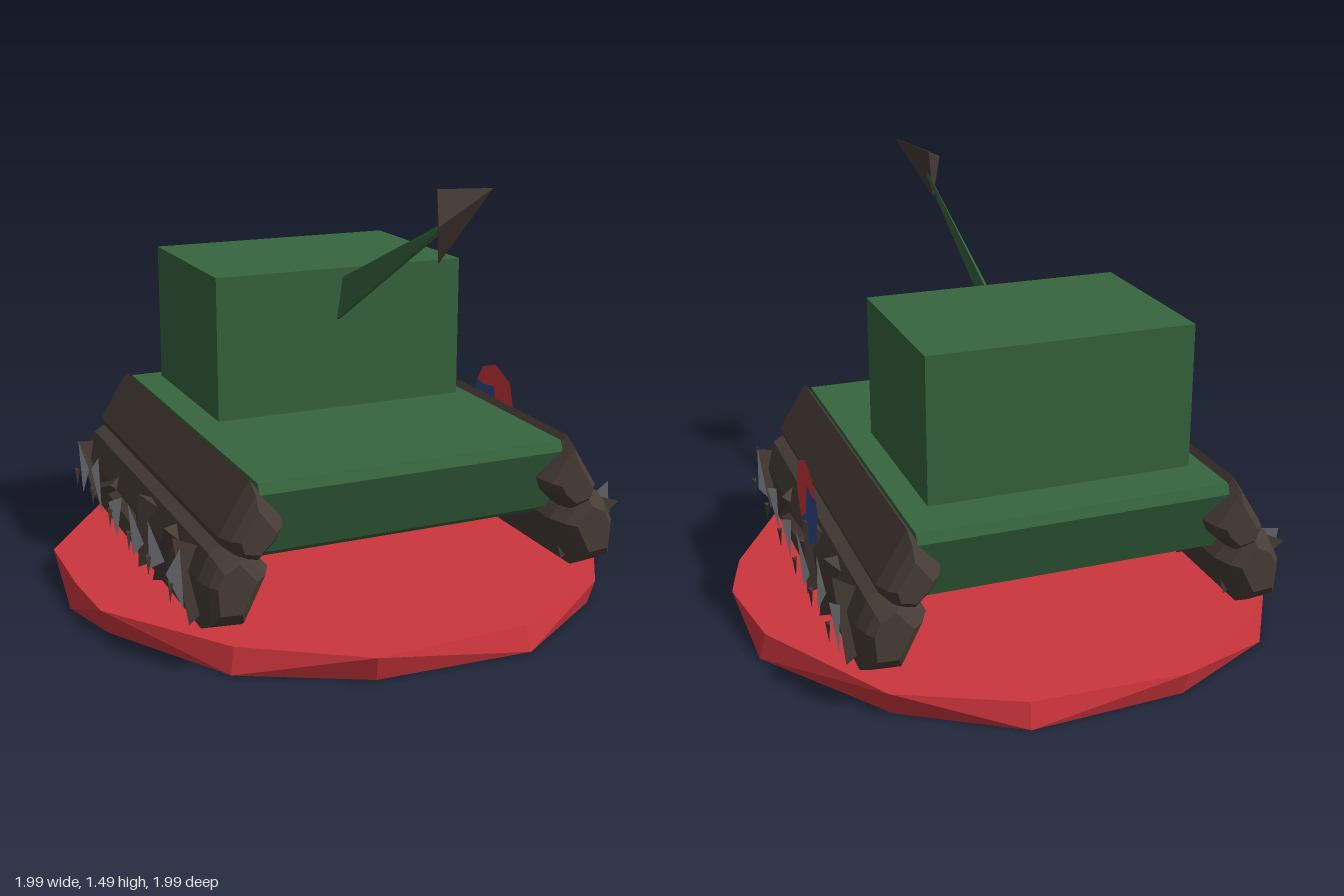
import * as THREE from 'three';
import { ConvexGeometry } from 'three/addons/geometries/ConvexGeometry.js';

function mat(name, color, side = THREE.FrontSide) {
  const m = new THREE.MeshStandardMaterial({ color, side });
  m.name = name;
  return m;
}

export function createModel() {
  const root = new THREE.Group();
  const green = mat('army green', 0x36653e);
  const red = mat('red', 0xcc353c, THREE.DoubleSide);
  const brown = mat('dark brown', 0x483d37);
  const grey = mat('light grey', 0x9a9ea2, THREE.DoubleSide);
  const blue = mat('blue', 0x2f4a8a, THREE.DoubleSide);

  const add = (name, geo, material, parent = root) => {
    const mesh = new THREE.Mesh(geo, material);
    mesh.name = name;
    parent.add(mesh);
    return mesh;
  };
  const V = (x, y, z) => new THREE.Vector3(x, y, z);
  const convex = (name, pts, material, parent) =>
    add(name, new ConvexGeometry(pts.map((p) => V(...p))), material, parent);
  // flat polygon facing sideways: u runs toward the back, v runs up
  const plate = (name, pts, material, parent) => {
    const shape = new THREE.Shape(pts.map(([u, v]) => new THREE.Vector2(u, v)));
    const mesh = add(name, new THREE.ShapeGeometry(shape), material, parent);
    mesh.rotation.y = Math.PI / 2;
    return mesh;
  };

  // low, uneven base disc
  const half = [[0.27, -0.99], [0.66, -0.77], [0.97, -0.28], [0.995, 0.06],
    [0.95, 0.3], [0.66, 0.74], [0.27, 0.97]];
  const basePts = [];
  half.forEach(([x, z], i) => {
    for (const s of [1, -1]) {
      const top = (i % 2 ? s : -s) > 0 ? 1 : 0.975;
      basePts.push([s * x * top, 0.085, z * top]);
      basePts.push([s * x * (1.975 - top), 0, z * (1.975 - top)]);
    }
  });
  convex('baseDisc', basePts, red);

  // hull with softened front and back
  const hullPts = [];
  const hullSection = [[0.585, 0.685], [0.55, 0.7], [0.33, 0.62], [0.285, 0.54]];
  for (const x of [-0.54, 0.54])
    for (const [y, z] of hullSection)
      hullPts.push([x, y, z - 0.01], [x, y, -z - 0.015]);
  convex('hull', hullPts, green);

  // turret
  const turret = add('turret', new THREE.BoxGeometry(0.92, 0.5, 0.66), green);
  turret.position.set(0, 0.857, -0.24);

  // thin tapering gun barrel and its pointed muzzle
  convex('gunBarrel', [
    [-0.018, 0.92, 0.08], [-0.008, 0.92, 0.08], [0.014, 1.07, 0.08], [0.004, 1.07, 0.08],
    [0.004, 1.35, 0.83], [-0.004, 1.36, 0.83], [0.004, 1.375, 0.83],
  ], green);
  convex('muzzle', [
    [0.095, 1.485, 0.95], [-0.105, 1.39, 0.995], [-0.03, 1.255, 0.855], [0.02, 1.46, 0.745],
  ], brown);

  // long track body with narrowed ends
  const trackBody = (name, section, s, parent) => {
    const n = section.length;
    const cx = section.reduce((a, p) => a + p[0], 0) / n;
    const cy = section.reduce((a, p) => a + p[1], 0) / n;
    const pts = [];
    for (const [z, k] of [[0.76, 0.55], [0.735, 0.8], [0.68, 1]])
      for (const [x, y] of section)
        for (const e of [1, -1])
          pts.push([s * (cx + (x - cx) * k), cy + (y - cy) * k, e * z - 0.01]);
    convex(name, pts, brown, parent);
  };
  const upper = [[0.565, 0.6], [0.46, 0.46], [0.485, 0.41], [0.56, 0.34], [0.65, 0.36], [0.67, 0.43]];
  const lower = [[0.61, 0.43], [0.51, 0.31], [0.6, 0.13], [0.73, 0.14], [0.74, 0.3], [0.7, 0.38]];

  const wheelZ = [0.585, 0.35, 0.12, -0.12, -0.355, -0.59];
  const spin = [0.2, 1.35, 0.9, 2.4, 2.0, 2.9];
  // hub triangles as [u, v] corners
  const hubs = [
    [[-0.62, 0.39], [-0.46, 0.245], [-0.645, 0.2]],
    [[-0.455, 0.285], [-0.275, 0.36], [-0.27, 0.19]],
    [[-0.22, 0.26], [-0.035, 0.34], [-0.08, 0.165]],
    [[0.04, 0.335], [0.23, 0.255], [0.12, 0.16]],
    [[0.35, 0.385], [0.465, 0.305], [0.33, 0.175]],
    [[0.5, 0.29], [0.655, 0.36], [0.61, 0.165]],
  ];

  for (const s of [1, -1]) {
    const track = new THREE.Group();
    track.name = s > 0 ? 'leftTrack' : 'rightTrack';
    root.add(track);
    trackBody('upperTrack', upper, s, track);
    trackBody('lowerTrack', lower, s, track);
    wheelZ.forEach((z, i) => {
      const wheel = add('wheel', new THREE.TetrahedronGeometry(0.17), brown, track);
      wheel.position.set(s * 0.667, 0.268, z);
      wheel.rotation.x = spin[i];
      plate('wheelHub', hubs[i], grey, track).position.x = s * 0.775;
      const bolt = add('wheelBolt', new THREE.ConeGeometry(0.02, 0.07, 3).toNonIndexed(), brown, track);
      bolt.geometry.computeVertexNormals();
      bolt.position.set(s * 0.8, 0.235, z);
      bolt.rotation.x = Math.PI;
      bolt.scale.x = 0.5;
    });
  }

  // two-colour round emblem on the left side only
  const emblem = new THREE.Group();
  emblem.name = 'emblem';
  emblem.position.set(0.75, 0.48, -0.125);
  root.add(emblem);
  const divide = [[0.14, 0.06], [0.09, 0.05], [0.01, 0.06], [-0.025, -0.055], [-0.105, -0.105]];
  plate('emblemRed', [[-0.15, -0.015], [-0.11, 0.105], [0, 0.15], [0.095, 0.12], ...divide], red, emblem);
  plate('emblemBlue', [...divide, [-0.1, -0.125], [0.01, -0.16], [0.125, -0.1], [0.155, 0.015]], blue, emblem);

  return root;
}
